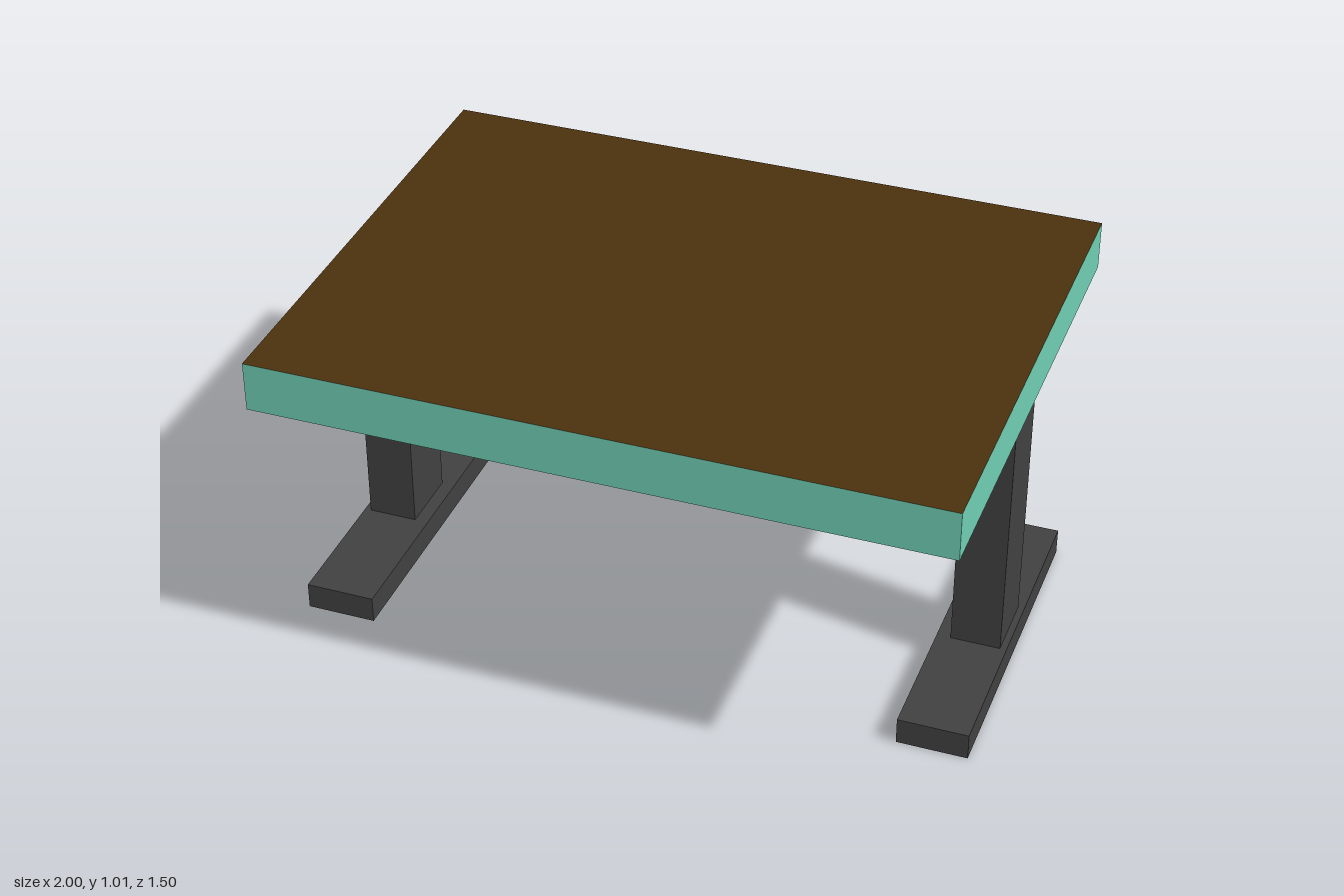
import * as THREE from 'three';

const wood = new THREE.MeshStandardMaterial({ color: 0x4b310d });
const edging = new THREE.MeshStandardMaterial({ color: 0x6fcdb2 });
const metal = new THREE.MeshStandardMaterial({ color: 0x404040 });

// Box given by its size, centre in x and the height of its underside
function box(name, width, height, depth, x, bottom, material) {
  const mesh = new THREE.Mesh(new THREE.BoxGeometry(width, height, depth), material);
  mesh.name = name;
  mesh.position.set(x, bottom + height / 2, 0);
  return mesh;
}

export function createModel() {
  const table = new THREE.Group();
  table.name = 'table';

  // Tabletop: coloured edge band, wooden top and underside
  const faces = [edging, edging, wood, wood, edging, edging];
  table.add(box('tabletop', 2, 0.148, 1.5, 0, 0.862, faces));

  // A T-shaped support at each end: post on a long foot
  for (const [side, s] of [['left', 1], ['right', -1]]) {
    const support = new THREE.Group();
    support.name = side + 'Support';
    support.add(
      box(side + 'Foot', 0.206, 0.08, 1, s * 0.897, 0, metal),
      box(side + 'Post', 0.146, 0.782, 0.204, s * 0.908, 0.08, metal)
    );
    table.add(support);
  }
  return table;
}
